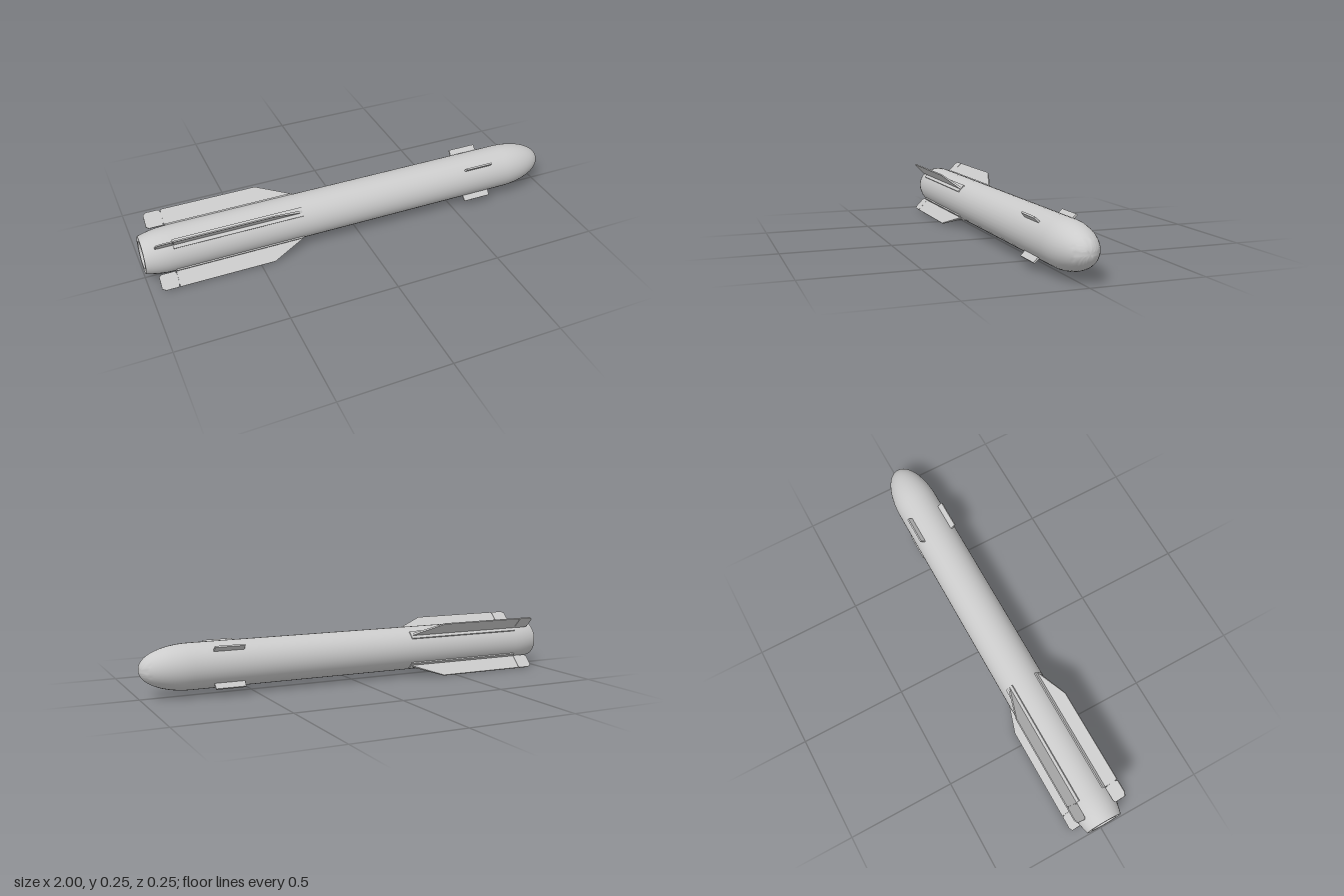
import * as THREE from 'three';
import { toCreasedNormals } from 'three/addons/utils/BufferGeometryUtils.js';

const material = new THREE.MeshStandardMaterial({ color: 0xcccccc });
const RADIUS = 0.103, AXIS_Y = 0.127;

function addMesh(parent, name, geometry) {
  const mesh = new THREE.Mesh(geometry, material);
  mesh.name = name;
  parent.add(mesh);
  return mesh;
}

// Body of revolution along +x from [x, radius] points
function lathe(points) {
  const g = new THREE.LatheGeometry(points.map(([x, r]) => new THREE.Vector2(r, x)), 36);
  g.rotateZ(-Math.PI / 2);
  return toCreasedNormals(g, 0.6);
}

// Thin plate from an [x, radius] outline, tapering from root to tip
function plate(outline, rootThickness, tipThickness) {
  const shape = new THREE.Shape(outline.map(([x, r]) => new THREE.Vector2(x, r)));
  const g = new THREE.ExtrudeGeometry(shape, { depth: 1, bevelEnabled: false });
  g.translate(0, 0, -0.5);
  const p = g.attributes.position;
  for (let i = 0; i < p.count; i++) {
    const t = THREE.MathUtils.clamp((p.getY(i) - 0.1) / 0.077, 0, 1);
    p.setZ(i, p.getZ(i) * THREE.MathUtils.lerp(rootThickness, tipThickness, t));
  }
  g.computeVertexNormals();
  return g;
}

export function createModel() {
  const model = new THREE.Group();

  // Hull: open nozzle, curved boat tail, straight tube and elliptical nose
  const profile = [
    [-0.88, 0], [-0.88, 0.062], [-1, 0.062], [-1, 0.084],
    [-0.975, 0.091], [-0.945, 0.097], [-0.91, 0.1015], [-0.87, RADIUS],
  ];
  const noseStart = 0.78, steps = 16;
  for (let i = 0; i <= steps; i++) {
    const a = (i / steps) * Math.PI / 2;
    profile.push([
      noseStart + (1 - noseStart) * Math.sin(a),
      i === steps ? 0 : RADIUS * Math.pow(Math.cos(a), 0.95),
    ]);
  }
  addMesh(model, 'body', lathe(profile));

  // Four identical fin sets on the diagonals
  for (let i = 0; i < 4; i++) {
    const set = new THREE.Group();
    set.name = 'finSet' + (i + 1);
    set.rotation.x = Math.PI / 4 + i * Math.PI / 2;
    model.add(set);

    // Long swept tail fin
    addMesh(set, 'tailFin', plate(
      [[-0.873, 0.095], [-0.28, 0.095], [-0.28, 0.107], [-0.435, 0.177], [-0.873, 0.177]], 0.011, 0.006));

    // Hinged control surface with clipped corners
    addMesh(set, 'controlSurface', plate(
      [[-0.94, 0.105], [-0.876, 0.105], [-0.876, 0.172], [-0.881, 0.177],
        [-0.935, 0.177], [-0.951, 0.167], [-0.951, 0.113]], 0.009, 0.006));

    // Hinge pin joining the control surface to the fin
    const pin = addMesh(set, 'hingePin', new THREE.BoxGeometry(0.012, 0.05, 0.004));
    pin.position.set(-0.8745, 0.14, 0);

    // Mounting strip along the fin root
    const strip = addMesh(set, 'finMount', new THREE.BoxGeometry(0.592, 0.014, 0.042));
    strip.position.set(-0.575, 0.1, 0);

    // Small forward vane
    addMesh(set, 'forwardVane', plate(
      [[0.553, 0.095], [0.692, 0.095], [0.69, 0.131], [0.555, 0.131]], 0.009, 0.007));
  }

  model.position.y = AXIS_Y;
  const root = new THREE.Group();
  root.name = 'finnedRocket';
  root.add(model);
  return root;
}
